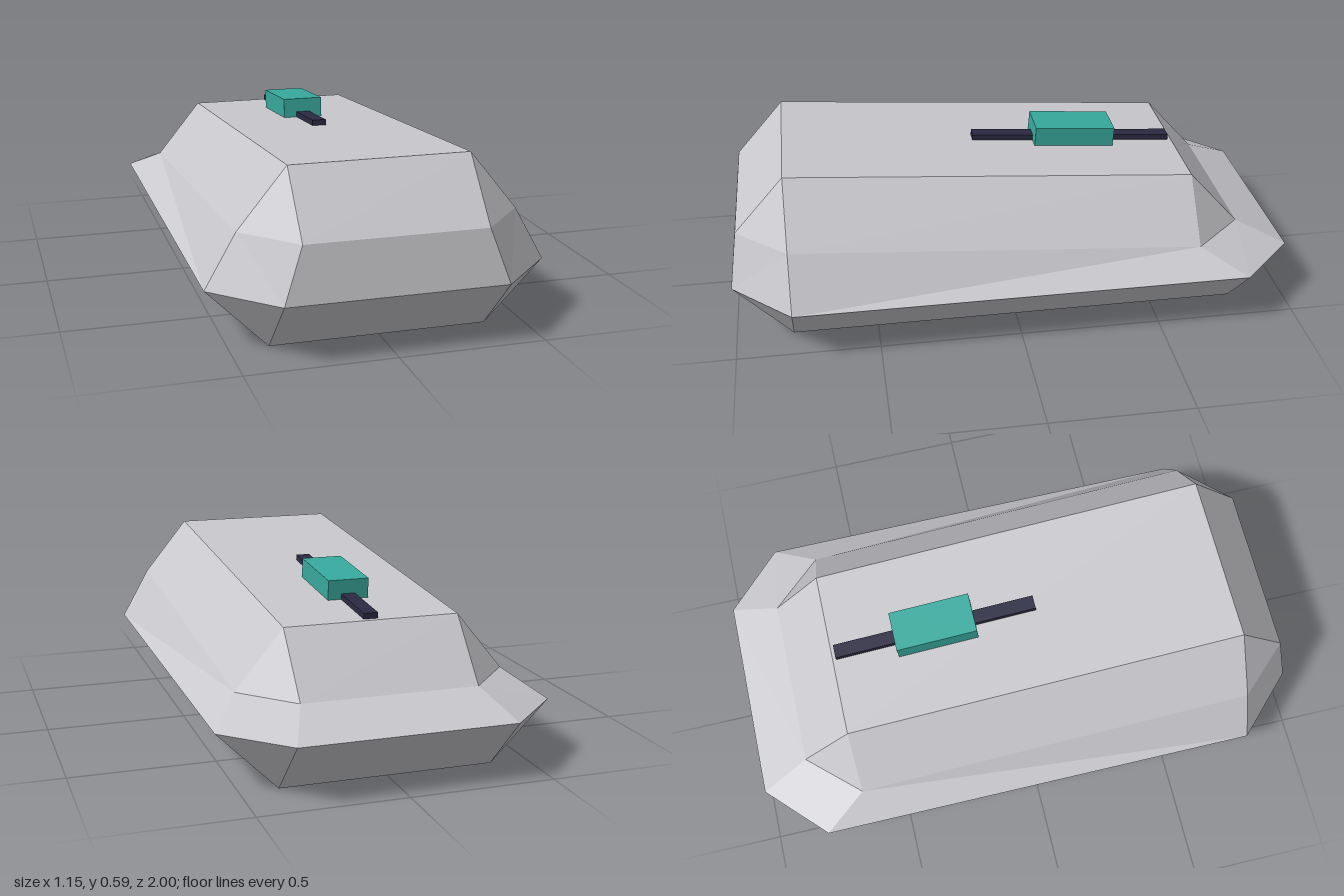
import * as THREE from 'three';

// Chamfered rectangle: a/b are the inner/outer half widths; zi/zo the end and
// chamfer depths; y is given separately for the front and back halves.
function ring({ a, b, front, back }) {
  const right = [
    [a, front.y, front.zi], [b, front.y, front.zo],
    [b, back.y, back.zo], [a, back.y, back.zi],
  ];
  const left = right.map(([x, y, z]) => [-x, y, z]).reverse();
  return [...right, ...left].map((p) => new THREE.Vector3(...p));
}

// Skin a stack of rings with flat faces and close both ends
function loft(rings) {
  const positions = [];
  const tri = (p, q, r) => {
    const area = q.clone().sub(p).cross(r.clone().sub(p)).length();
    if (area > 1e-6) for (const v of [p, q, r]) positions.push(v.x, v.y, v.z);
  };
  for (let i = 0; i < rings.length - 1; i++) {
    const lower = rings[i], upper = rings[i + 1], n = lower.length;
    for (let k = 0; k < n; k++) {
      const p0 = lower[k], p1 = lower[(k + 1) % n];
      const q0 = upper[k], q1 = upper[(k + 1) % n];
      // folds run from the forward lower corner to the rearward upper one
      if (p0.z >= p1.z) { tri(p0, p1, q1); tri(p0, q1, q0); }
      else { tri(p0, p1, q0); tri(p1, q1, q0); }
    }
  }
  const base = rings[0], top = rings[rings.length - 1];
  for (let k = 1; k < base.length - 1; k++) {
    tri(base[0], base[k + 1], base[k]);
    tri(top[0], top[k], top[k + 1]);
  }
  const geometry = new THREE.BufferGeometry();
  geometry.setAttribute('position', new THREE.Float32BufferAttribute(positions, 3));
  geometry.computeVertexNormals();
  return geometry;
}

export function createModel() {
  const shellGrey = new THREE.MeshStandardMaterial({ color: 0xc9c8cd });
  const teal = new THREE.MeshStandardMaterial({ color: 0x38aa9e });
  const darkNavy = new THREE.MeshStandardMaterial({ color: 0x2b2a42 });
  const model = new THREE.Group();

  // Faceted shell: underside, belt, shoulder, top
  const shell = new THREE.Mesh(loft([
    ring({ a: 0.37, b: 0.37, front: { y: 0, zi: 0.8, zo: 0.8 }, back: { y: 0, zi: -0.8, zo: -0.8 } }),
    ring({ a: 0.37, b: 0.575, front: { y: 0.205, zi: 1, zo: 0.795 }, back: { y: 0.205, zi: -1, zo: -0.8 } }),
    ring({ a: 0.305, b: 0.47, front: { y: 0.39, zi: 0.972, zo: 0.795 }, back: { y: 0.283, zi: -0.825, zo: -0.645 } }),
    ring({ a: 0.305, b: 0.305, front: { y: 0.592, zi: 0.795, zo: 0.795 }, back: { y: 0.485, zi: -0.645, zo: -0.645 } }),
  ]), shellGrey);
  shell.name = 'shell';
  model.add(shell);

  // Controls lie on the sloping top
  const controls = new THREE.Group();
  controls.name = 'topControls';
  controls.position.set(0, 0.514, -0.262);
  controls.rotation.x = -Math.atan2(0.107, 1.44);
  const addBox = (name, width, height, depth, material) => {
    const box = new THREE.Mesh(new THREE.BoxGeometry(width, height, depth), material);
    box.name = name;
    box.position.y = height / 2;
    controls.add(box);
  };
  addBox('slideStrip', 0.05, 0.02, 0.74, darkNavy);
  addBox('slideButton', 0.146, 0.07, 0.293, teal);
  model.add(controls);

  return model;
}
